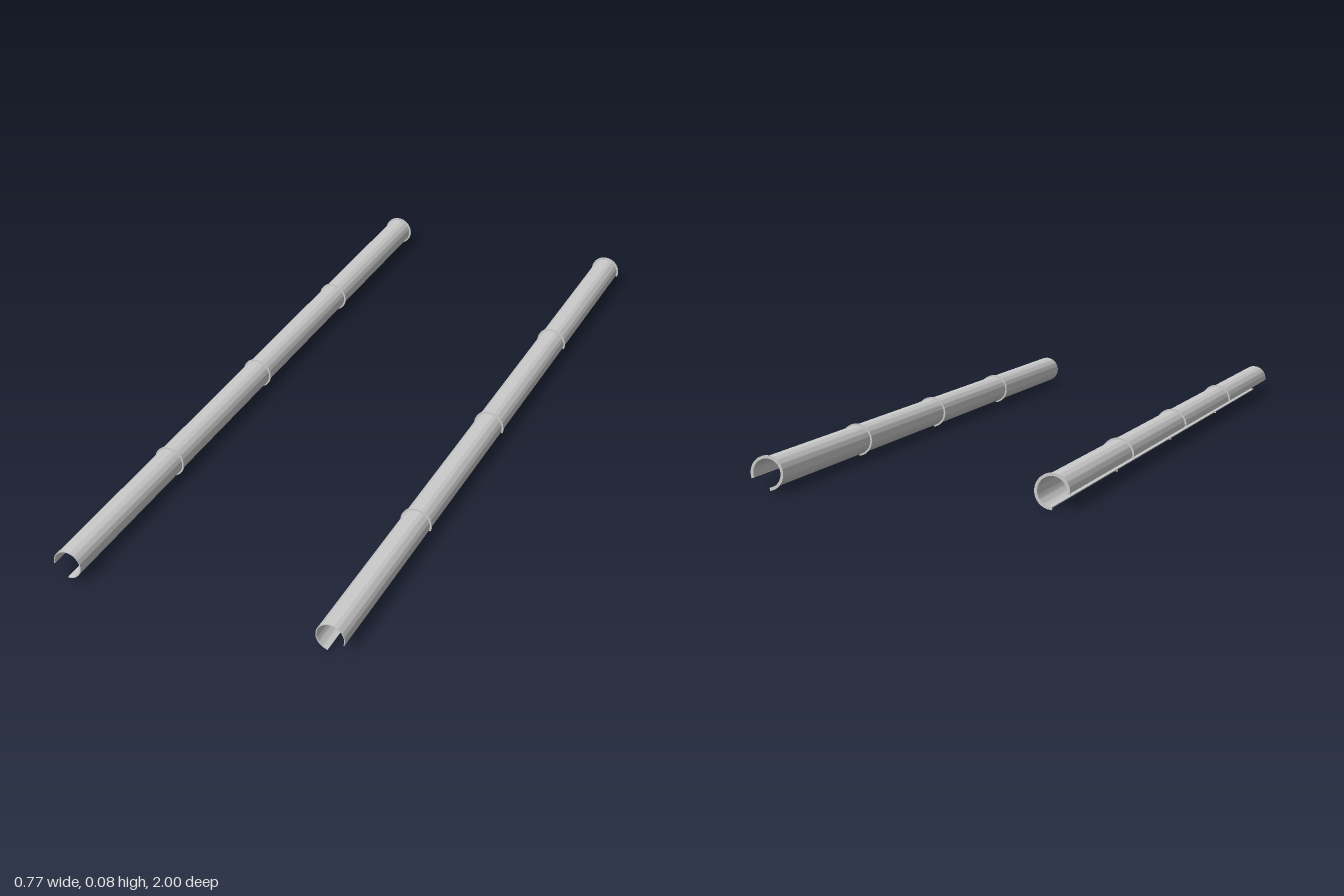
import * as THREE from 'three';
import { toCreasedNormals } from 'three/addons/utils/BufferGeometryUtils.js';

const INNER = 0.0345, TUBE = 0.037, COLLAR = 0.0415;
const rad = THREE.MathUtils.degToRad;

// Open ring section swept along z
function arcSolid(outer, from, to, depth) {
  const shape = new THREE.Shape();
  shape.absarc(0, 0, outer, rad(from), rad(to), false);
  shape.absarc(0, 0, INNER, rad(to), rad(from), true);
  shape.closePath();
  const geometry = new THREE.ExtrudeGeometry(shape, { depth, bevelEnabled: false, curveSegments: 40 });
  return toCreasedNormals(geometry, rad(35));
}

export function createModel() {
  const model = new THREE.Group();
  model.name = 'slottedTubePair';
  const material = new THREE.MeshStandardMaterial({ color: 0xcccccc, side: THREE.DoubleSide });

  // Each tube has its slot facing outward and down
  const tubes = [
    { name: 'rightTube', x: -0.3455, from: -90, to: 188 },
    { name: 'leftTube', x: 0.3445, from: -20, to: 260 },
  ];
  for (const { name, x, from, to } of tubes) {
    const tube = new THREE.Group();
    tube.name = name;
    tube.position.set(x, COLLAR, 0);

    const section = arcSolid(TUBE, from, to, 0.5);
    const collar = arcSolid(COLLAR, from, to, 0.004);
    // Four sections, each with a thin collar at its rear end
    for (let i = 0; i < 4; i++) {
      const z = -1 + i * 0.5;
      const pipe = new THREE.Mesh(section, material);
      pipe.name = 'tubeSection';
      pipe.position.z = z;
      const ring = new THREE.Mesh(collar, material);
      ring.name = 'collar';
      ring.position.z = i === 0 ? z : z - 0.002;
      tube.add(pipe, ring);
    }
    model.add(tube);
  }
  return model;
}
